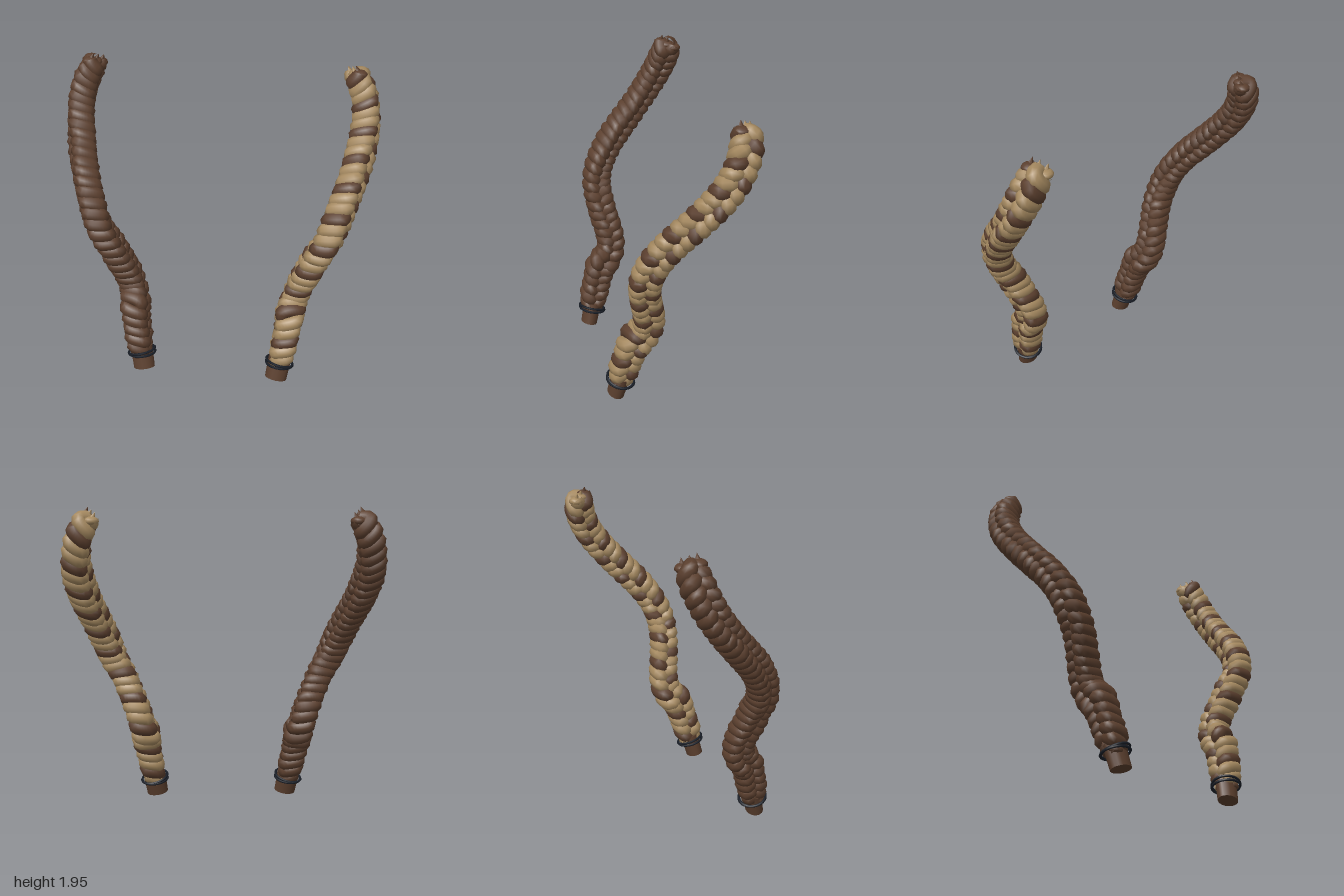
import * as THREE from 'three';

const brown = new THREE.MeshStandardMaterial({ name: 'brown', color: 0x5b3f2e });
const tan = new THREE.MeshStandardMaterial({ name: 'tan', color: 0xa58960 });
const black = new THREE.MeshStandardMaterial({ name: 'tieBlack', color: 0x1a1f28 });

// Centre line of the left braid, from the tied end up
const centre = [
  [0.455, 0.115, 0.32], [0.475, 0.24, 0.293], [0.495, 0.36, 0.262], [0.503, 0.43, 0.238],
  [0.512, 0.48, 0.19], [0.53, 0.54, 0.16], [0.56, 0.64, 0.158], [0.605, 0.75, 0.187],
  [0.65, 0.86, 0.21], [0.705, 0.96, 0.218], [0.75, 1.07, 0.188], [0.803, 1.21, 0.105],
  [0.85, 1.35, -0.01], [0.878, 1.45, -0.1], [0.9, 1.55, -0.185], [0.9, 1.65, -0.25],
  [0.877, 1.76, -0.295], [0.84, 1.84, -0.312], [0.82, 1.88, -0.315],
];
const PERIODS = 11;
const STRAND_RADIUS = 0.048;
const { smoothstep } = THREE.MathUtils;

// One strand weaving in a figure eight around the centre line
class Strand extends THREE.Curve {
  constructor(path, phase, side) {
    super();
    Object.assign(this, { path, phase, side, arcLengthDivisions: 700 });
  }
  getPoint(t, target = new THREE.Vector3()) {
    const s = THREE.MathUtils.clamp(t, 0, 1);
    const tangent = this.path.getTangentAt(s);
    // The flat of the braid turns a little forward along its middle
    const turn = 0.45 * smoothstep(s, 0.35, 0.58) * (1 - smoothstep(s, 0.72, 0.95));
    const wide = new THREE.Vector3(-this.side * Math.sin(turn), 0, Math.cos(turn));
    wide.addScaledVector(tangent, -wide.dot(tangent)).normalize();
    const deep = new THREE.Vector3().crossVectors(wide, tangent).multiplyScalar(this.side);
    const a = s * PERIODS * Math.PI * 2 + this.phase;
    // Gathered at the tie and at the tip, fuller at the low bend
    const bend = Math.exp(-(((s - 0.17) / 0.035) ** 2));
    const spread = (0.5 + 0.5 * smoothstep(s, 0, 0.05)) * (1 - 0.2 * smoothstep(s, 0.95, 1))
      * (1 + 0.25 * bend + 0.06 * Math.sin(47 * s + this.phase));
    return target.copy(this.path.getPointAt(s))
      .addScaledVector(wide, 0.051 * spread * Math.sin(a))
      .addScaledVector(deep, 0.041 * spread * Math.sin(2 * a));
  }
}

function makeBraid(name, side, strandMaterials) {
  const braid = new THREE.Group();
  braid.name = name;
  const add = (partName, geometry, material) => {
    const mesh = new THREE.Mesh(geometry, material);
    mesh.name = partName;
    braid.add(mesh);
    return mesh;
  };
  const path = new THREE.CatmullRomCurve3(
    centre.map(([x, y, z]) => new THREE.Vector3(x * side, y, z)));

  // Three woven strands with rounded ends
  strandMaterials.forEach((material, i) => {
    const strand = new Strand(path, (i * Math.PI * 2) / 3, side);
    add('strand', new THREE.TubeGeometry(strand, 360, STRAND_RADIUS, 10), material);
    for (const end of [0, 1]) {
      const cap = add('strandEnd', new THREE.SphereGeometry(STRAND_RADIUS, 10, 8), material);
      cap.position.copy(strand.getPoint(end));
      cap.scale.y = 0.6;
    }
    // Loose tuft at the upper end
    const tuft = add('tuft', new THREE.ConeGeometry(0.036, 0.08, 7), material);
    tuft.position.copy(strand.getPoint(1)).add(new THREE.Vector3(-0.01 * side, 0.018, 0));
    tuft.rotation.z = 0.4 * side;
  });

  // Gathered hair below the tie, leaning along the braid
  const axis = new THREE.Vector3(0.16 * side, 1, -0.24).normalize();
  const lean = new THREE.Quaternion().setFromUnitVectors(new THREE.Vector3(0, 1, 0), axis);
  const stub = add('gatheredEnd', new THREE.CylinderGeometry(0.074, 0.07, 0.15, 16), brown);
  stub.position.set(0.446 * side, 0.09, 0.33);
  stub.quaternion.copy(lean);
  stub.scale.z = 0.78;

  // Two thin loops of the hair tie
  [[0.116, 0.06], [0.129, -0.08]].forEach(([y, tilt]) => {
    const ring = add('hairTie', new THREE.TorusGeometry(0.087, 0.008, 6, 28), black);
    ring.position.set(0.453 * side, y, 0.319);
    ring.quaternion.copy(lean).multiply(new THREE.Quaternion().setFromEuler(
      new THREE.Euler(Math.PI / 2 + tilt * 0.5, tilt * side, 0)));
  });
  return braid;
}

export function createModel() {
  const model = new THREE.Group();
  model.name = 'braids';
  model.add(makeBraid('leftBraid', 1, [tan, brown, tan]));
  model.add(makeBraid('rightBraid', -1, [brown, brown, brown]));
  return model;
}
